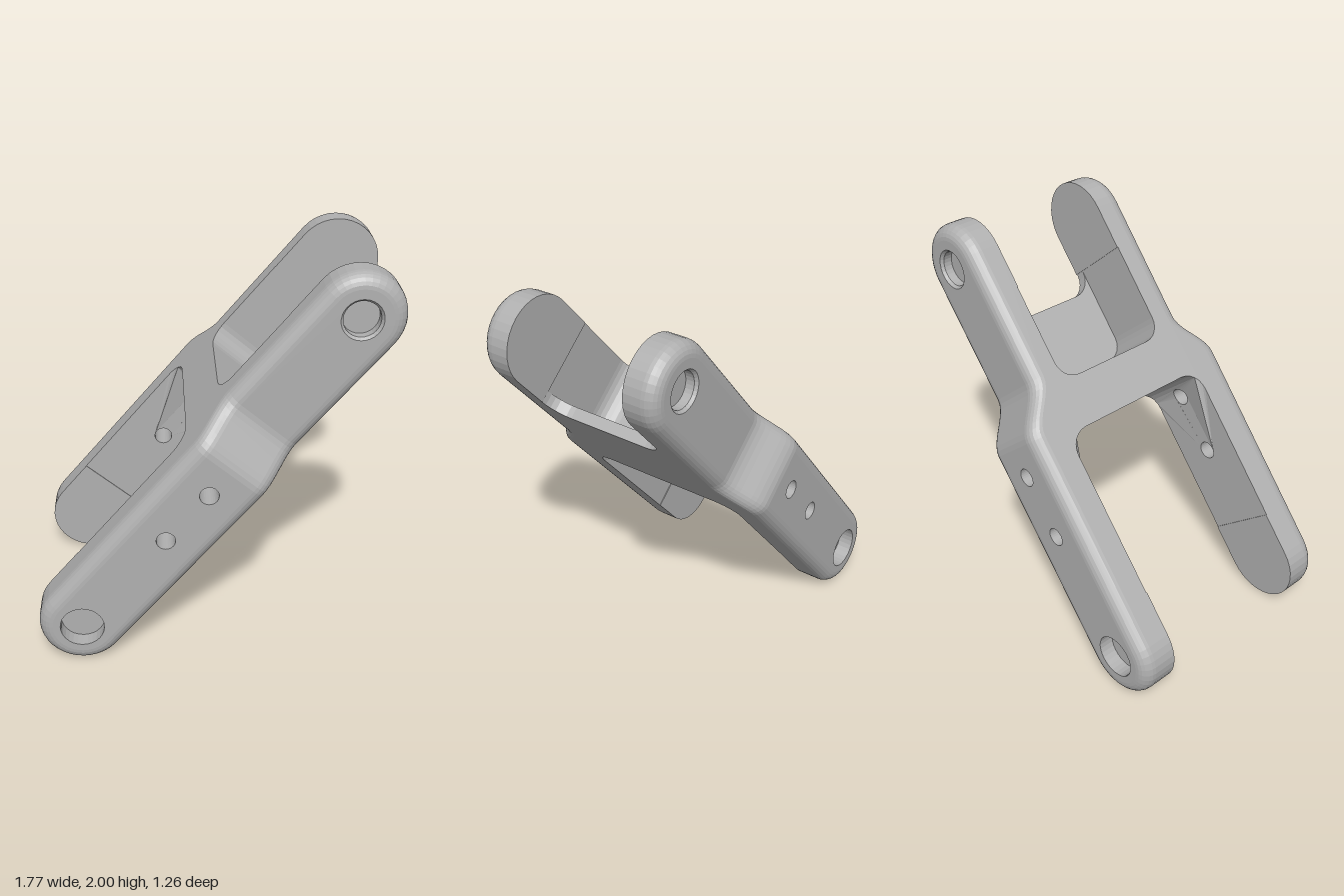
import * as THREE from 'three';
import { mergeGeometries } from 'three/addons/utils/BufferGeometryUtils.js';

// Local frame: x runs along the link, y through its thickness, z across its width
const L = 1.0285, R = 0.2175, RIM = 0.07;   // half length between pivots, end radius, edge rounding
const STEP = 0.8, PAD = 0.004;              // slightly raised pads inside the arm ends
const LIP = -0.157;                         // top of the thin lip in the upper slot
const LOW_IN = 0.44, UP_IN = 0.33;          // inner half widths of the two slots
const T0 = 0.1, T1 = 0.36;                  // shoulder start and end

const V = (x, y, z) => new THREE.Vector3(x, y, z);
const P = (x, y) => new THREE.Vector2(x, y);

// Half width of the outside, stepping in at the shoulder
const outerZ = x => 0.63 - 0.14 * THREE.MathUtils.smoothstep(x, T0, T1);

// Surface through rows of points
function grid(rows, flip = false) {
  const pos = [];
  for (let i = 0; i + 1 < rows.length; i++)
    for (let j = 0; j + 1 < rows[i].length; j++) {
      const a = rows[i][j], b = rows[i][j + 1], c = rows[i + 1][j + 1], d = rows[i + 1][j];
      for (const p of flip ? [a, c, b, a, d, c] : [a, b, c, a, c, d]) pos.push(p.x, p.y, p.z);
    }
  const g = new THREE.BufferGeometry();
  g.setAttribute('position', new THREE.Float32BufferAttribute(pos, 3));
  return g;
}

// Filled outline with holes, each point placed by map
function skin(points, holes, map, flip = false) {
  const shape = new THREE.Shape(points);
  for (const h of holes) shape.holes.push(new THREE.Path(h));
  const src = new THREE.ShapeGeometry(shape), p = src.attributes.position, idx = src.index.array;
  const pos = [];
  for (let i = 0; i < idx.length; i += 3)
    for (const k of flip ? [0, 2, 1] : [0, 1, 2]) {
      const q = map(p.getX(idx[i + k]), p.getY(idx[i + k]));
      pos.push(q.x, q.y, q.z);
    }
  const g = new THREE.BufferGeometry();
  g.setAttribute('position', new THREE.Float32BufferAttribute(pos, 3));
  return g;
}

function circle(cx, r, n = 28) {
  return Array.from({ length: n }, (_, i) => {
    const a = i / n * Math.PI * 2;
    return P(cx + r * Math.cos(a), r * Math.sin(a));
  });
}

// Half round end; side +1 is the upper end, always counter-clockwise
function endArc(side, r, n = 18) {
  return Array.from({ length: n + 1 }, (_, i) => {
    const a = -Math.PI / 2 + i / n * Math.PI + (side < 0 ? Math.PI : 0);
    return P(side * L + r * Math.cos(a), r * Math.sin(a));
  });
}

// Slot corner from the arm wall to the slot floor, as (x, z)
function fillet(dir, floor, r, z, n = 6) {
  return Array.from({ length: n + 1 }, (_, i) => {
    const a = i / n * Math.PI / 2;
    return P(floor + dir * r * (1 - Math.sin(a)), z - r + r * Math.cos(a));
  });
}
const bothSides = half => [...half, ...half.map(p => P(p.x, -p.y)).reverse()];
const wall = (path, y0, y1, flip) =>
  grid([y0, y1].map(y => path.map(p => V(p.x, y, p.y))), flip);

const shoulder = Array.from({ length: 11 }, (_, i) => T0 + (T1 - T0) * i / 10);
const lowCorner = fillet(-1, 0.05, 0.11, LOW_IN);
const pocketCorner = fillet(1, 0.296, 0.1, UP_IN);
const lipCorner = fillet(1, 0.685, 0.11, UP_IN);
const screws = [-0.049, -0.372], SCREW_R = 0.047;

// Inner wall of the lower arm, following the slot corner
function lowInner(x) {
  const d = x + 0.06;
  return d <= 0 ? LOW_IN : LOW_IN - 0.11 + Math.sqrt(Math.max(0, 0.0121 - d * d));
}

// Outside of one arm: rounded rim, flat faces, shoulder and round ends
function outerShell() {
  const inner = R - RIM, xs = [-L, ...shoulder, L];
  const loop = r => [
    ...xs.map(x => P(x, -r)), ...endArc(1, r).slice(1),
    ...xs.slice(0, -1).reverse().map(x => P(x, r)), ...endArc(-1, r).slice(1)
  ];
  const rim = [];
  for (let k = 0; k <= 6; k++) {
    const a = k / 6 * Math.PI / 2;
    rim.push(loop(R - RIM * (1 - Math.sin(a))).map(p => V(p.x, p.y, outerZ(p.x) - RIM * (1 - Math.cos(a)))));
  }
  const flat = (x, y) => V(x, y, outerZ(x));
  const endWall = (side, z) => grid([outerZ(side) - RIM, z].map(h => endArc(side, R).map(p => V(p.x, p.y, h))), true);
  return [
    grid(rim, true),
    skin([...endArc(-1, inner), P(T0, -inner), P(T0, inner)],
      [circle(-L, 0.11), ...screws.map(x => circle(x, SCREW_R))], flat),
    skin([...endArc(1, inner), P(T1, inner), P(T1, -inner)], [circle(L, 0.1)], flat),
    grid([-inner, inner].map(y => shoulder.map(x => V(x, y, outerZ(x))))),
    endWall(-1, LOW_IN - PAD), endWall(1, UP_IN - PAD)
  ];
}

// Inside faces of one arm pair, with the raised end pads
function innerFaces() {
  const pad = (side, z) => skin([...endArc(side, R), P(side * STEP, side * R), P(side * STEP, -side * R)],
    [], (x, y) => V(x, y, z - PAD), true);
  const riser = (side, z) => wall([P(side * STEP, z - PAD), P(side * STEP, z)], -R, R, side < 0);
  const edge = lowCorner.slice(0, 4).map(p => p.x);
  return [
    pad(-1, LOW_IN), pad(1, UP_IN), riser(-1, LOW_IN), riser(1, UP_IN),
    skin([P(-STEP, -R), ...edge.map(x => P(x, -R)), ...edge.slice().reverse().map(x => P(x, R)), P(-STEP, R)],
      screws.map(x => circle(x, SCREW_R)), (x, y) => V(x, y, lowInner(x)), true),
    skin([P(pocketCorner[0].x, LIP), P(STEP, LIP), P(STEP, R), P(pocketCorner[0].x, R)],
      [], (x, y) => V(x, y, UP_IN), true)
  ];
}

// Bore made of rings given as [radius, z or function of x]
function bore(cx, rings) {
  return grid(rings.map(([r, z]) => {
    const c = circle(cx, r);
    return [...c, c[0]].map(p => V(p.x, p.y, typeof z === 'function' ? z(p.x) : z));
  }));
}
const disc = (cx, r, z) => skin(circle(cx, r), [], (x, y) => V(x, y, z));

// Flat broad face of the body, between the rounded rims
function broadFace(y, upperCorner, flip) {
  const outer = [-L, ...shoulder, L].map(x => P(x, outerZ(x) - RIM));
  const inside = (side, z, corner) => bothSides([
    P(side * L, z - PAD), P(side * STEP, z - PAD), P(side * STEP, z), ...corner]);
  return skin([
    ...outer, ...inside(1, UP_IN, upperCorner),
    ...outer.map(p => P(p.x, -p.y)).reverse(), ...inside(-1, LOW_IN, lowCorner).reverse()
  ], [], (x, z) => V(x, y, z), flip);
}

export function createModel() {
  const metal = new THREE.MeshStandardMaterial({ color: 0xb0b0b0, side: THREE.DoubleSide });
  metal.name = 'plain grey metal';
  const part = (name, geos) => {
    const g = mergeGeometries(geos.map(o => { o.deleteAttribute('normal'); return o; }));
    g.computeVertexNormals();
    const m = new THREE.Mesh(g, metal);
    m.name = name;
    return m;
  };

  const link = new THREE.Group();
  link.name = 'forkLink';

  // Left and right sides
  for (const s of [1, -1]) {
    const side = new THREE.Group();
    side.name = s > 0 ? 'frontSide' : 'backSide';
    side.add(
      part('outerShell', outerShell()),
      part('innerFaces', innerFaces()),
      part('screwHoles', screws.map(x => bore(x, [[SCREW_R, 0.63], [SCREW_R, lowInner]]))),
      part('lowerPivotSocket', [bore(-L, [[0.11, 0.63], [0.11, 0.55]]), disc(-L, 0.11, 0.55)]),
      part('upperPivotSocket', [bore(L, [[0.1, 0.49], [0.088, 0.475], [0.088, 0.43]]), disc(L, 0.088, 0.43)])
    );
    side.scale.z = s;
    link.add(side);
  }

  // Central web: broad faces, slot floors and the thin lip
  const lipPath = [P(STEP, UP_IN), ...lipCorner];
  link.add(
    part('broadFaces', [broadFace(R, pocketCorner, true), broadFace(-R, lipCorner, false)]),
    part('lowerSlotFloor', [wall(bothSides(lowCorner.slice(3)), -R, R, true)]),
    part('upperSlotFloor', [wall(bothSides(pocketCorner), LIP, R, false)]),
    part('lip', [
      wall(bothSides(lipPath), -R, LIP, false),
      skin([...bothSides(pocketCorner), ...bothSides(lipPath).reverse()], [], (x, z) => V(x, LIP, z), true)
    ])
  );

  // Lean the link and stand it on the ground
  link.rotation.z = Math.atan2(0.7825, 0.6675);
  link.position.y = 1;
  const model = new THREE.Group();
  model.name = 'forkLinkModel';
  model.add(link);
  return model;
}
